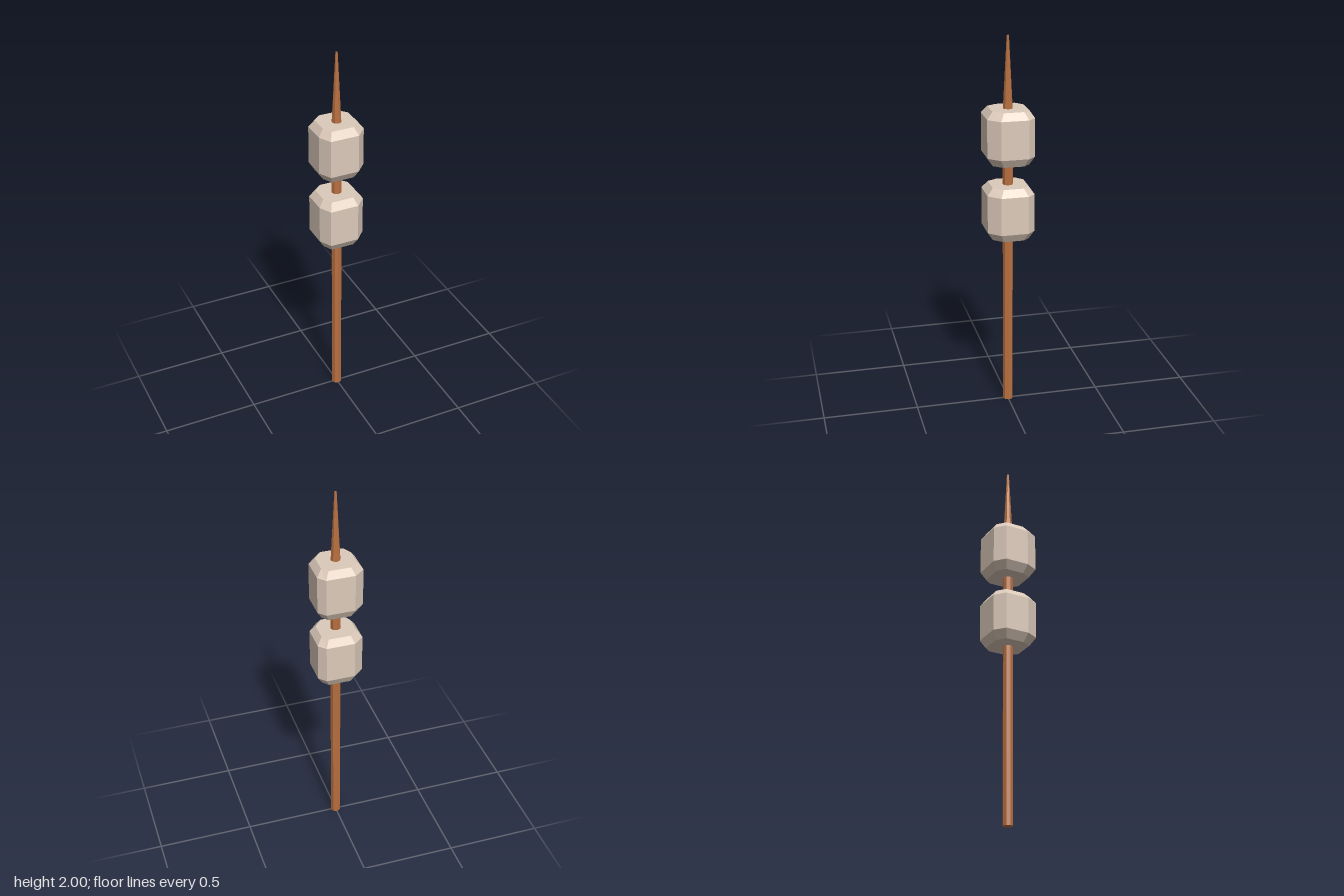
import * as THREE from 'three';

const woodMat = new THREE.MeshStandardMaterial({ color: 0xb97040, flatShading: true });
const mallowMat = new THREE.MeshStandardMaterial({ color: 0xdccaba, flatShading: true });

// Uneven octagon outlines [x, z]: the wide body and the inset cap
const BODY = [[-0.065, -0.12], [0.085, -0.12], [0.12, -0.082], [0.12, 0.06],
  [0.065, 0.12], [-0.086, 0.12], [-0.12, 0.055], [-0.12, -0.073]];
const CAP = [[-0.05, -0.095], [0.066, -0.095], [0.093, -0.062], [0.093, 0.042],
  [0.051, 0.09], [-0.068, 0.09], [-0.093, 0.041], [-0.093, -0.058]];

// Chamfered block from stacked outlines, closed by flat caps
function loft(rings) {
  const n = rings[0].outline.length;
  const last = (rings.length - 1) * n;
  const positions = rings.flatMap(({ outline, y }) => outline.flatMap(([x, z]) => [x, y, z]));
  const index = [];
  for (let r = 0; r < last; r += n) {
    for (let i = 0; i < n; i++) {
      const a = r + i, b = r + (i + 1) % n;
      index.push(a, a + n, b + n, a, b + n, b);
    }
  }
  for (let i = 1; i < n - 1; i++) {
    index.push(0, i, i + 1, last, last + i + 1, last + i);
  }
  const geo = new THREE.BufferGeometry();
  geo.setAttribute('position', new THREE.Float32BufferAttribute(positions, 3));
  geo.setIndex(index);
  const flat = geo.toNonIndexed();
  flat.computeVertexNormals();
  return flat;
}

export function createModel() {
  const model = new THREE.Group();
  model.name = 'marshmallowSkewer';

  const add = (name, geometry, material, y) => {
    const mesh = new THREE.Mesh(geometry, material);
    mesh.name = name;
    mesh.position.y = y;
    model.add(mesh);
  };

  // Eight-sided stick with a tapering point
  const shaftTop = 1.6, radius = 0.027;
  add('stickShaft', new THREE.CylinderGeometry(radius, radius, shaftTop, 8), woodMat, shaftTop / 2);
  add('stickPoint', new THREE.CylinderGeometry(0.006, radius, 2 - shaftTop, 8), woodMat, (2 + shaftTop) / 2);

  // Two identical marshmallows
  const marshmallow = loft([
    { outline: CAP, y: 0 },
    { outline: BODY, y: 0.045 },
    { outline: BODY, y: 0.245 },
    { outline: CAP, y: 0.282 },
  ]);
  add('lowerMarshmallow', marshmallow, mallowMat, 0.951);
  add('upperMarshmallow', marshmallow, mallowMat, 1.35);

  return model;
}
